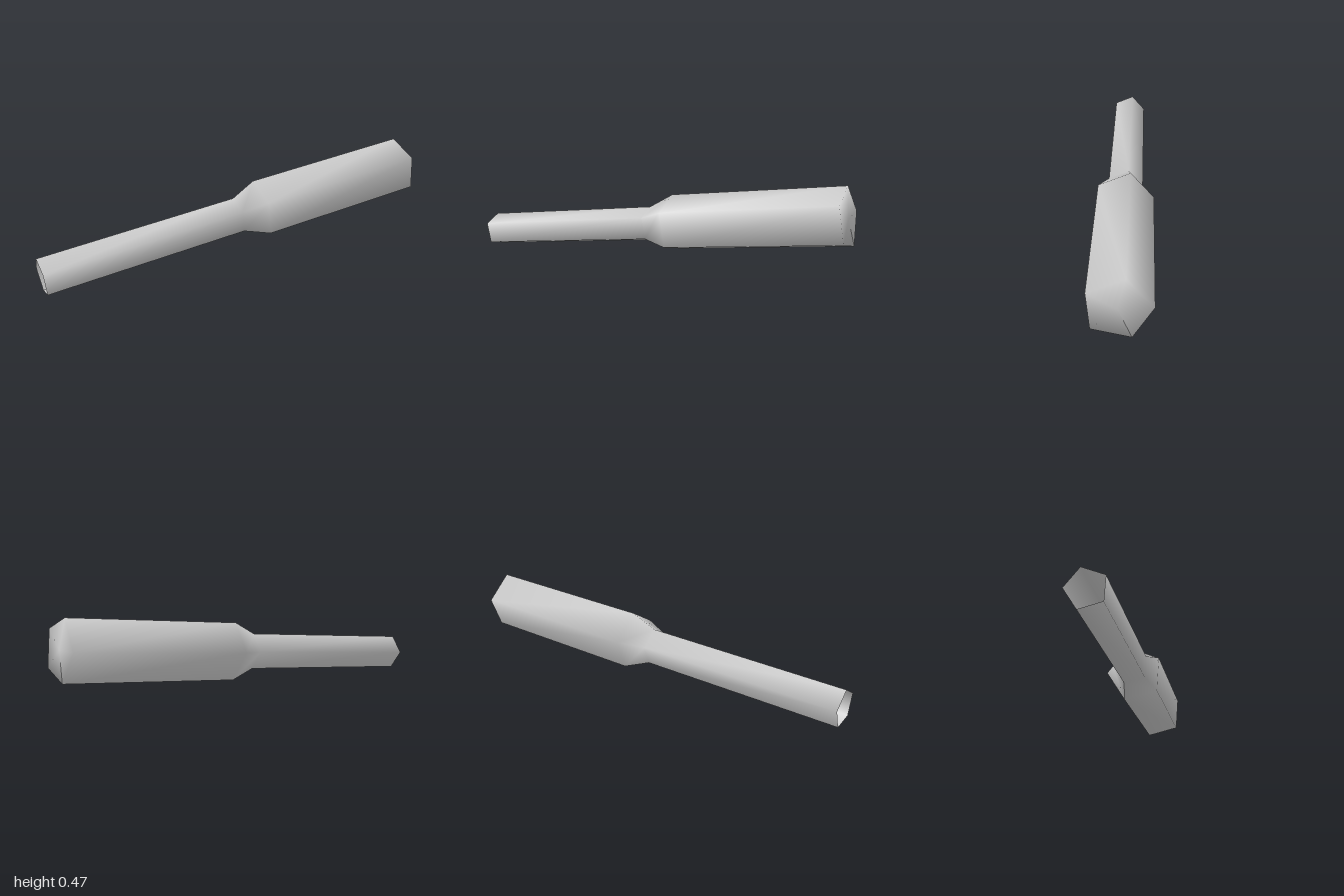
import * as THREE from 'three';

const SIDES = 5;

export function createModel() {
  const model = new THREE.Group();
  model.name = 'handledRod';
  const grey = new THREE.MeshStandardMaterial({ color: 0xcccccc, side: THREE.DoubleSide });
  grey.name = 'grey';

  // Tilted axis from the open thin end to the closed thick end
  const start = new THREE.Vector3(-0.985, 0.085, -0.101);
  const end = new THREE.Vector3(0.975, 0.333, 0.068);
  const length = start.distanceTo(end);

  // Profile: thin shaft, flared shoulder, thick grip, flat end
  const profile = [[0.09, 0], [0.09, 0.5], [0.145, 0.563], [0.145, 1], [0, 1]]
    .map(([r, t]) => new THREE.Vector2(r, t * length));
  const geometry = new THREE.LatheGeometry(profile, SIDES);
  geometry.computeVertexNormals();

  // Lay the five-sided body along the axis with its lowest corner underneath
  const along = end.clone().sub(start).normalize();
  const corner = new THREE.Vector3(0.022, -0.133, -0.056);
  corner.addScaledVector(along, -corner.dot(along)).normalize();
  const across = along.clone().cross(corner);
  geometry.applyMatrix4(new THREE.Matrix4().makeBasis(across, along, corner).setPosition(start));

  const body = new THREE.Mesh(geometry, grey);
  body.name = 'shaftAndGrip';
  model.add(body);
  return model;
}
